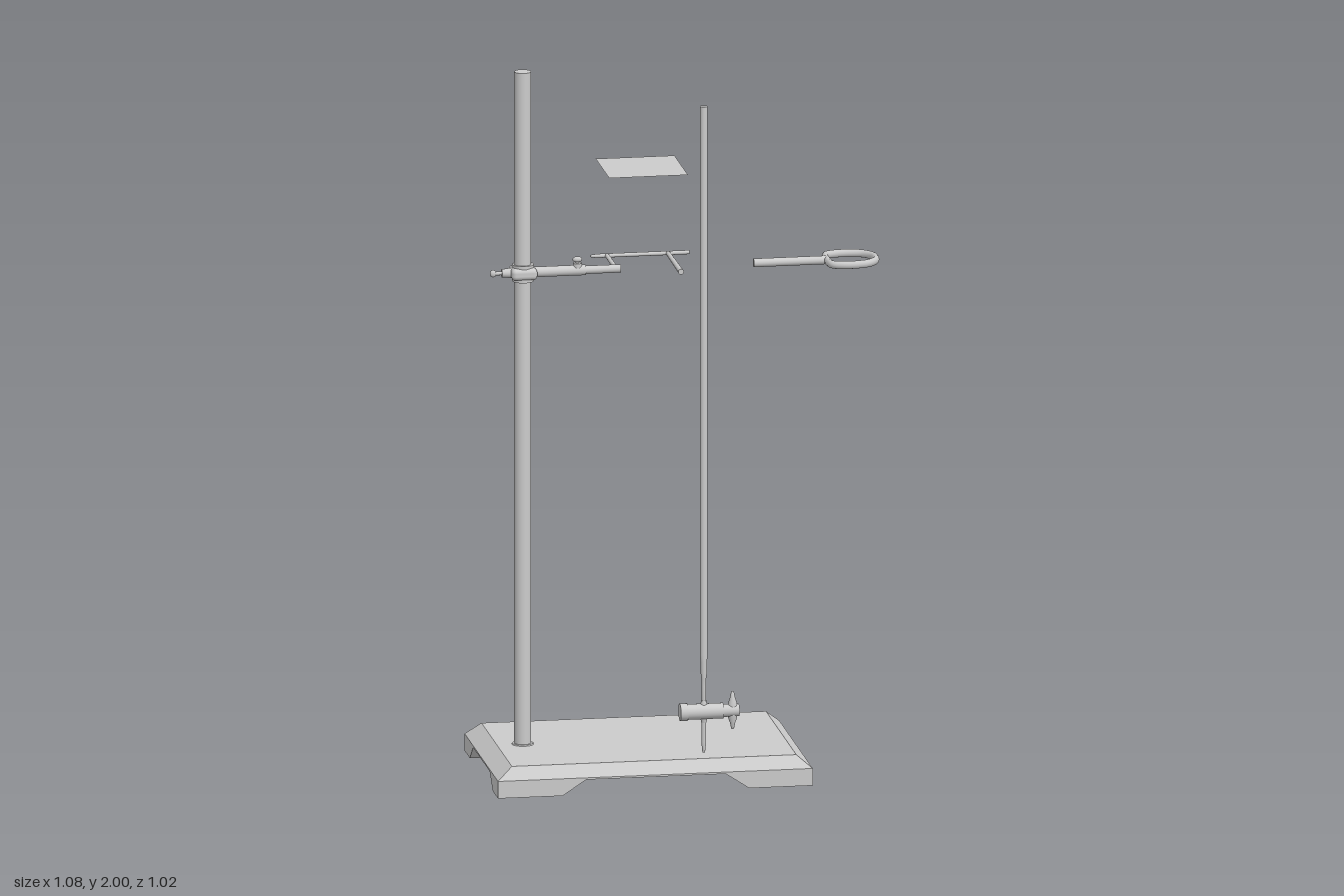
import * as THREE from 'three';
import { RoundedBoxGeometry } from 'three/addons/geometries/RoundedBoxGeometry.js';

const mat = new THREE.MeshStandardMaterial({ color: 0xcccccc });
const thinMat = new THREE.MeshStandardMaterial({ color: 0xcccccc, side: THREE.DoubleSide });

function add(parent, name, geometry, x = 0, y = 0, z = 0, material = mat) {
  const mesh = new THREE.Mesh(geometry, material);
  mesh.name = name;
  mesh.position.set(x, y, z);
  parent.add(mesh);
  return mesh;
}

// Block whose bottom and top rectangles [x0, x1, z0, z1] differ
function taperedBlock(bottom, top, y0, y1) {
  const g = new THREE.BoxGeometry(1, 1, 1);
  const p = g.attributes.position;
  for (let i = 0; i < p.count; i++) {
    const up = p.getY(i) > 0;
    const r = up ? top : bottom;
    p.setXYZ(i, p.getX(i) < 0 ? r[0] : r[1], up ? y1 : y0, p.getZ(i) < 0 ? r[2] : r[3]);
  }
  g.computeVertexNormals();
  return g;
}

// Round bar between two points
function bar(parent, name, a, b, r0, r1 = r0) {
  const from = new THREE.Vector3(...a), to = new THREE.Vector3(...b);
  const dir = to.clone().sub(from);
  const mid = from.clone().add(to).multiplyScalar(0.5);
  const mesh = add(parent, name, new THREE.CylinderGeometry(r1, r0, dir.length(), 20), mid.x, mid.y, mid.z);
  mesh.quaternion.setFromUnitVectors(new THREE.Vector3(0, 1, 0), dir.normalize());
  return mesh;
}

// Lathe from [radius, height] pairs, each section with its own normals
function turned(points) {
  return new THREE.LatheGeometry(points.map(([r, y]) => new THREE.Vector2(r, y)), 24);
}

function makeBase() {
  const base = new THREE.Group();
  base.name = 'base';
  const outer = [-0.54, 0.312, -0.51, 0.022];
  const inner = [-0.498, 0.272, -0.488, -0.005];
  add(base, 'plateRim', taperedBlock(outer, outer, 0.042, 0.047));
  add(base, 'bevelledPlate', taperedBlock(outer, inner, 0.047, 0.08));
  // Corner feet, sloping on their two inner sides
  const xs = [[-0.54, -0.365, -0.54, -0.30], [0.14, 0.312, 0.075, 0.312]];
  const zs = [[-0.51, -0.427, -0.51, -0.375], [-0.061, 0.022, -0.113, 0.022]];
  for (const x of xs) for (const z of zs) {
    add(base, 'foot', taperedBlock([x[0], x[1], z[0], z[1]], [x[2], x[3], z[2], z[3]], 0, 0.043));
  }
  return base;
}

function makeClamp(y, z) {
  const clamp = new THREE.Group();
  clamp.name = 'clamp';
  // Boss head around the rod
  add(clamp, 'bossHead', new RoundedBoxGeometry(0.07, 0.032, 0.068, 3, 0.012), -0.427, y, z);
  add(clamp, 'bossCollar', new THREE.CylinderGeometry(0.029, 0.029, 0.046, 28), -0.427, y, z);
  // Tightening screw on the outer side
  bar(clamp, 'screwNeck', [-0.485, y, z], [-0.455, y, z], 0.011, 0.014);
  bar(clamp, 'screwShaft', [-0.51, y, z], [-0.47, y, z], 0.005);
  add(clamp, 'screwKnob', new THREE.SphereGeometry(0.009, 16, 12), -0.508, y, z).scale.set(1, 1.1, 0.7);
  // Stepped arm with a locking screw
  bar(clamp, 'armSleeve', [-0.4, y, z], [-0.258, y, z], 0.014);
  bar(clamp, 'armRod', [-0.265, y, z], [-0.163, y, z], 0.011);
  bar(clamp, 'lockCollar', [-0.28, y + 0.005, z], [-0.28, y + 0.02, z], 0.012);
  bar(clamp, 'lockStem', [-0.28, y + 0.018, z], [-0.28, y + 0.032, z], 0.005);
  add(clamp, 'lockKnob', new THREE.SphereGeometry(0.01, 16, 12), -0.28, y + 0.03, z).scale.set(1.3, 0.8, 0.8);
  // Two prongs joined by a crossbar
  const back = -0.39;
  bar(clamp, 'innerProng', [-0.175, y, z], [-0.175, y, back], 0.006);
  bar(clamp, 'crossbar', [-0.208, y, back], [0.048, y, back], 0.0055);
  add(clamp, 'crossbarTip', new THREE.SphereGeometry(0.0045, 12, 8), -0.212, y, back).scale.x = 2;
  bar(clamp, 'outerProng', [-0.01, y, back], [-0.01, y, -0.18], 0.006, 0.0075);
  return clamp;
}

function makeSupportRing(y, z) {
  const ring = new THREE.Group();
  ring.name = 'supportRing';
  bar(ring, 'ringArm', [0.197, y, z], [0.393, y, z], 0.0115);
  // Loop is flatter next to the arm and round at the far end
  const half = [[0.396, 0.028], [0.403, 0.053], [0.425, 0.063], [0.462, 0.065], [0.501, 0.053], [0.523, 0.026]];
  const pts = [[0.396, 0], ...half, [0.527, 0], ...half.slice().reverse().map(([x, w]) => [x, -w])];
  const curve = new THREE.CatmullRomCurve3(pts.map(([x, w]) => new THREE.Vector3(x, 0, z + w)), true);
  add(ring, 'loop', new THREE.TubeGeometry(curve, 72, 0.009, 12, true), 0, y, 0).scale.y = 1.2;
  return ring;
}

function makeBurette(x, z) {
  const burette = new THREE.Group();
  burette.name = 'burette';
  burette.position.set(x, 0, z);
  // Long tube narrowing into the valve
  add(burette, 'tube', turned([[0, 0.345], [0.0055, 0.345], [0.0055, 0.405], [0.0065, 0.425],
    [0.0085, 0.44], [0.0085, 0.47], [0.0105, 0.49], [0.0105, 2], [0.0105, 2], [0, 2]]));
  add(burette, 'outletTip', turned([[0, 0.222], [0.0035, 0.222], [0.0065, 0.25], [0.0065, 0.335]]));
  // Horizontal stopcock
  const y = 0.335;
  bar(burette, 'stopcockCap', [-0.065, y, 0], [-0.045, y, 0], 0.0235);
  bar(burette, 'stopcockBody', [-0.046, y, 0], [0.052, y, 0], 0.021);
  bar(burette, 'stopcockPlug', [0.05, y, 0], [0.095, y, 0], 0.0175, 0.0165);
  bar(burette, 'tubeSocket', [0, y + 0.015, 0], [0, y + 0.03, 0], 0.01, 0.007);
  bar(burette, 'tipSocket', [0, y - 0.03, 0], [0, y - 0.015, 0], 0.007, 0.01);
  // Turning handle with two wings
  add(burette, 'handle', turned([[0, -0.053], [0.004, -0.05], [0.007, -0.035], [0.012, -0.02],
    [0.014, 0], [0.012, 0.02], [0.007, 0.035], [0.004, 0.05], [0, 0.053]]), 0.078, y, 0);
  return burette;
}

export function createModel() {
  const model = new THREE.Group();
  model.name = 'laboratoryStand';
  const z = -0.245, armY = 1.377;
  model.add(makeBase());
  add(model, 'uprightRod', new THREE.CylinderGeometry(0.0225, 0.0225, 1.855, 32), -0.428, 1.0025, z);
  add(model, 'rodCollar', new THREE.CylinderGeometry(0.028, 0.03, 0.004, 32), -0.428, 0.081, z);
  model.add(makeClamp(armY, z), makeSupportRing(armY, z), makeBurette(-0.062, 0.486));
  // Thin square of wire gauze
  const gauze = add(model, 'gauze', new THREE.PlaneGeometry(0.213, 0.216), -0.096, 1.64, -0.3, thinMat);
  gauze.rotation.x = -Math.PI / 2;
  return model;
}
